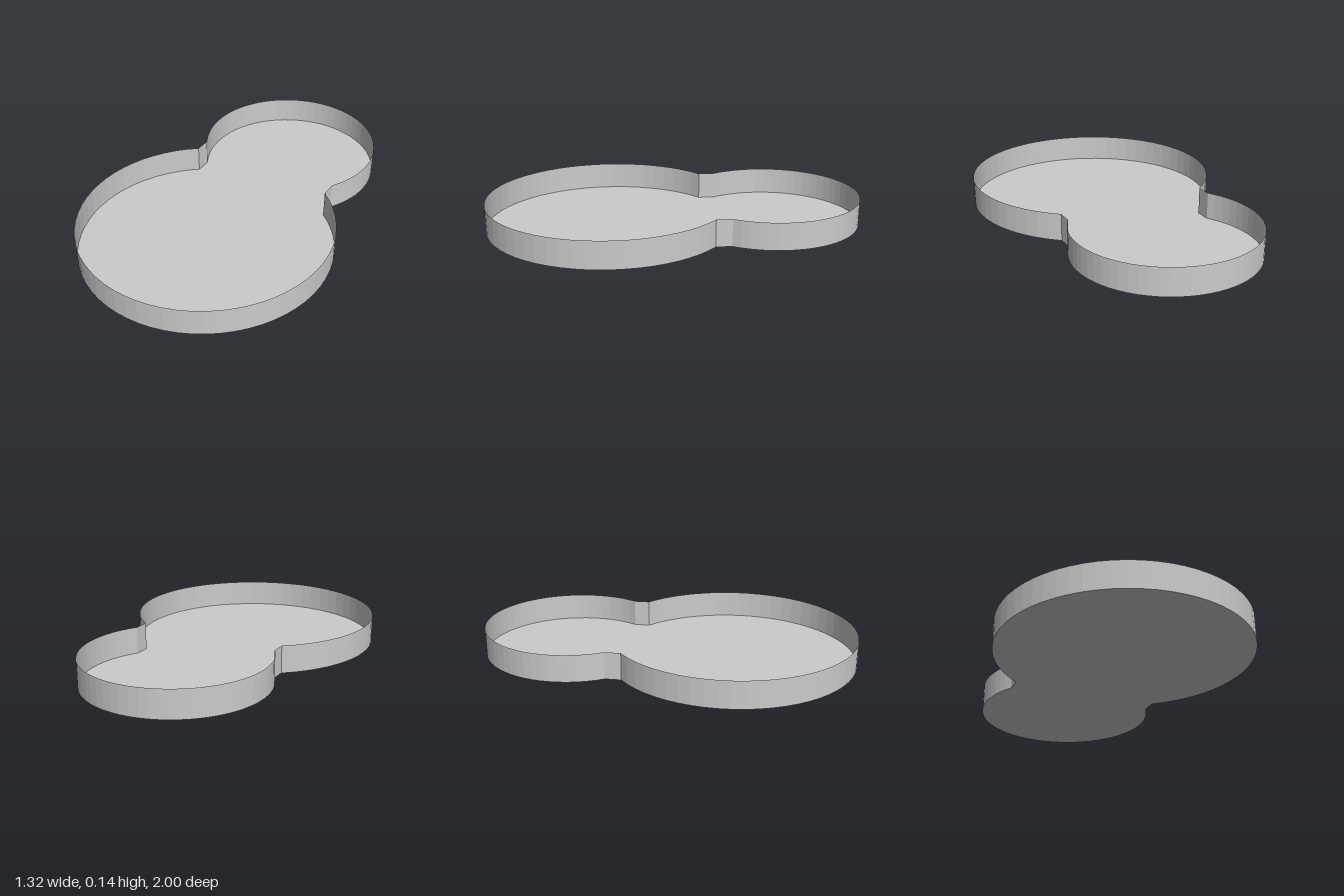
import * as THREE from 'three';

const HEIGHT = 0.145;
const NECK = 0.405; // half width of the straight neck
const BIG = { r: 0.659, z: 0.341 };
const SMALL = { r: 0.48, z: -0.52 };

// Points along an arc in plan, angle measured from +z towards +x
function arc({ r, z }, from, to, segments) {
  return Array.from({ length: segments + 1 }, (_, i) => {
    const a = from + ((to - from) * i) / segments;
    return new THREE.Vector2(r * Math.sin(a), z + r * Math.cos(a));
  });
}

// Two round lobes joined by short straight neck sides
function outline() {
  const a = Math.PI - Math.asin(NECK / BIG.r);
  const b = Math.asin(NECK / SMALL.r);
  return [...arc(BIG, -a, a, 50), ...arc(SMALL, b, 2 * Math.PI - b, 44)];
}

export function createModel() {
  const group = new THREE.Group();
  group.name = 'tray';
  const material = new THREE.MeshStandardMaterial({
    color: 0xcccccc, flatShading: true, side: THREE.DoubleSide,
  });
  const points = outline();

  // Flat floor
  const shape = new THREE.Shape(points.map((p) => new THREE.Vector2(p.x, -p.y)));
  const floor = new THREE.Mesh(new THREE.ShapeGeometry(shape).rotateX(-Math.PI / 2), material);
  floor.name = 'floor';

  // Thin upright rim: a strip wrapped around the outline
  const n = points.length;
  const strip = new THREE.PlaneGeometry(1, 1, n, 1);
  const pos = strip.attributes.position;
  for (let i = 0; i <= n; i++) {
    const p = points[i % n];
    pos.setXYZ(i, p.x, HEIGHT, p.y);
    pos.setXYZ(i + n + 1, p.x, 0, p.y);
  }
  strip.computeVertexNormals();
  const rim = new THREE.Mesh(strip, material);
  rim.name = 'rim';

  group.add(floor, rim);
  return group;
}
